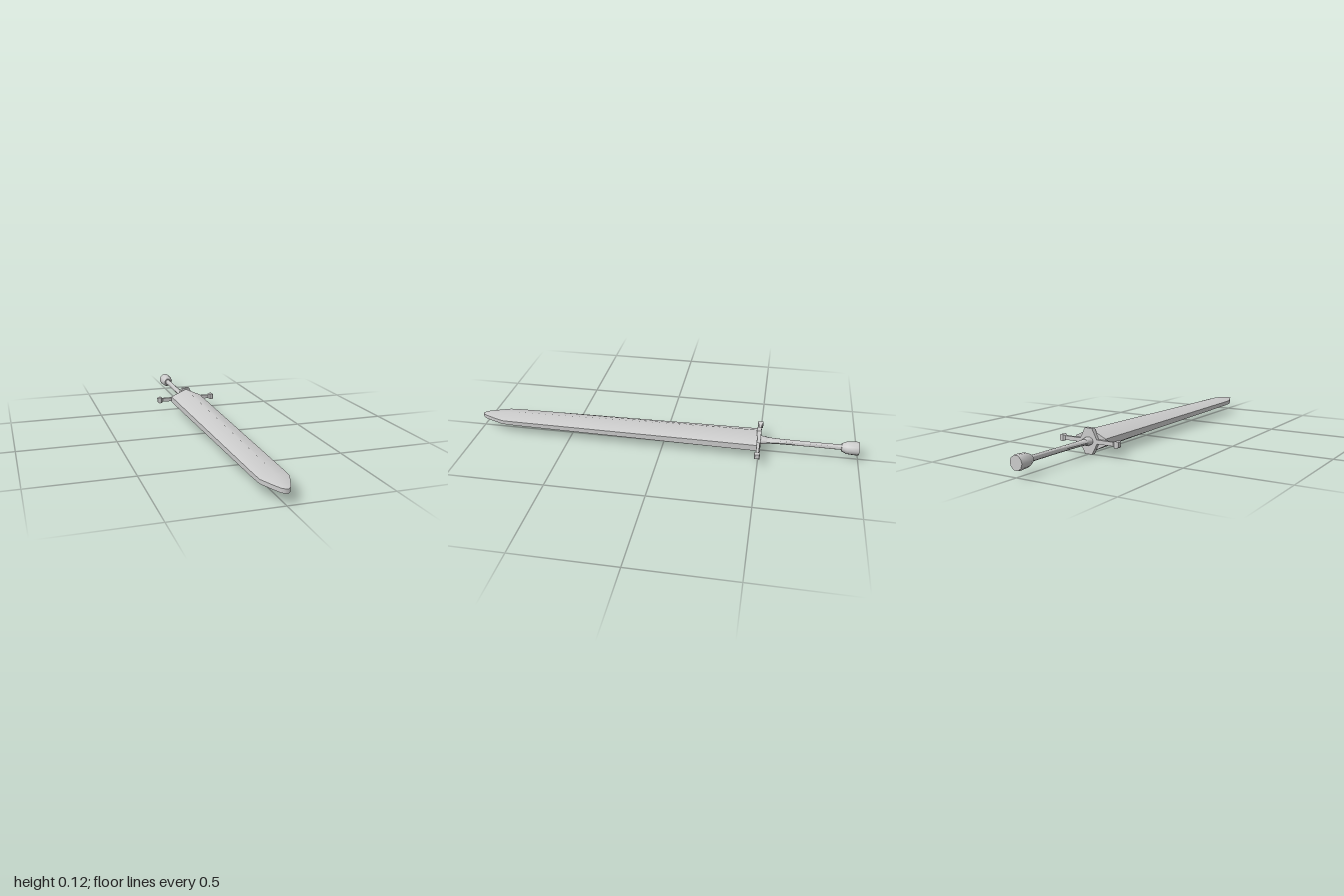
import * as THREE from 'three';
import { toCreasedNormals } from 'three/addons/utils/BufferGeometryUtils.js';

const steel = new THREE.MeshStandardMaterial({ color: 0xcccccc });
steel.name = 'steel';

// Skin a run of cross-sections (counter-clockwise [x, y] rings, z increasing) and cap both ends
function loft(sections, crease) {
  const pos = [];
  const n = sections[0].ring.length;
  const put = (i, j) => pos.push(...sections[i].ring[j % n], sections[i].z);
  const last = sections.length - 1;
  for (let i = 0; i < last; i++) {
    for (let j = 0; j < n; j++) {
      put(i, j); put(i, j + 1); put(i + 1, j + 1);
      put(i, j); put(i + 1, j + 1); put(i + 1, j);
    }
  }
  for (let j = 1; j < n - 1; j++) {
    put(0, 0); put(0, j + 1); put(0, j);
    put(last, 0); put(last, j); put(last, j + 1);
  }
  const geo = new THREE.BufferGeometry();
  geo.setAttribute('position', new THREE.Float32BufferAttribute(pos, 3));
  return toCreasedNormals(geo, crease);
}

// Cross-section shapes
const bladeRing = (w, e, r) => [[w, -e], [w, e], [0, r], [-w, e], [-w, -e], [0, -r]];
const boxRing = (w, h) => [[w, -h], [w, h], [-w, h], [-w, -h]];
const ovalRing = (rx, ry, n = 10) => Array.from({ length: n }, (_, i) => {
  const a = (i / n) * Math.PI * 2;
  return [Math.cos(a) * rx, Math.sin(a) * ry];
});

export function createModel() {
  const sword = new THREE.Group();
  sword.name = 'sword';
  const body = new THREE.Group();
  body.name = 'swordBody';
  body.position.y = 0.0625;
  sword.add(body);
  const add = (name, geo) => {
    const mesh = new THREE.Mesh(geo, steel);
    mesh.name = name;
    body.add(mesh);
    return mesh;
  };

  // Blade: z, half width, edge half height, ridge half height
  const blade = [
    [-0.49, 0.086, 0.016, 0.056],
    [0.8, 0.07, 0.011, 0.032],
    [0.87, 0.067, 0.01, 0.027],
    [0.94, 0.04, 0.01, 0.019],
    [0.983, 0.021, 0.01, 0.0135],
    [1.0, 0.004, 0.01, 0.0105],
  ];
  add('blade', loft(blade.map(([z, w, e, r]) => ({ z, ring: bladeRing(w, e, r) })), 1.05));

  // Guard plate: hexagonal block between blade and grip
  const outline = [[0.02, 0.0625], [-0.02, 0.0625], [-0.048, 0.01], [-0.048, -0.01],
    [-0.02, -0.0625], [0.02, -0.0625], [0.048, -0.01], [0.048, 0.01]];
  const plate = new THREE.ExtrudeGeometry(
    new THREE.Shape(outline.map(([x, y]) => new THREE.Vector2(x, y))),
    { depth: 0.022, bevelEnabled: false });
  add('guardPlate', plate.translate(0, 0, -0.507));

  // Guard arms with flared square ends: distance out, half thickness, half height
  const arm = [
    [0.03, 0.007, 0.01],
    [0.138, 0.007, 0.01],
    [0.148, 0.014, 0.016],
    [0.161, 0.014, 0.016],
    [0.168, 0.01, 0.012],
  ];
  for (const side of [1, -1]) {
    const mesh = add(side > 0 ? 'leftGuardArm' : 'rightGuardArm',
      loft(arm.map(([z, w, h]) => ({ z, ring: boxRing(w, h) })), 0.4));
    mesh.rotation.y = side * Math.PI / 2;
    mesh.position.z = -0.497;
  }

  // Collar, grip and pommel: z, x radius, y radius
  const turned = (name, rows, crease) =>
    add(name, loft(rows.map(([z, rx, ry]) => ({ z, ring: ovalRing(rx, ry) })), crease));
  turned('collar', [[-0.54, 0.022, 0.016], [-0.525, 0.025, 0.02], [-0.5, 0.028, 0.021]], 0.8);
  turned('grip', [[-0.93, 0.015, 0.014], [-0.75, 0.014, 0.013], [-0.6, 0.018, 0.013], [-0.52, 0.024, 0.014]], 0.8);
  turned('pommel', [[-1.0, 0.033, 0.034], [-0.99, 0.035, 0.036], [-0.94, 0.033, 0.033], [-0.913, 0.021, 0.021]], 0.8);

  return sword;
}
